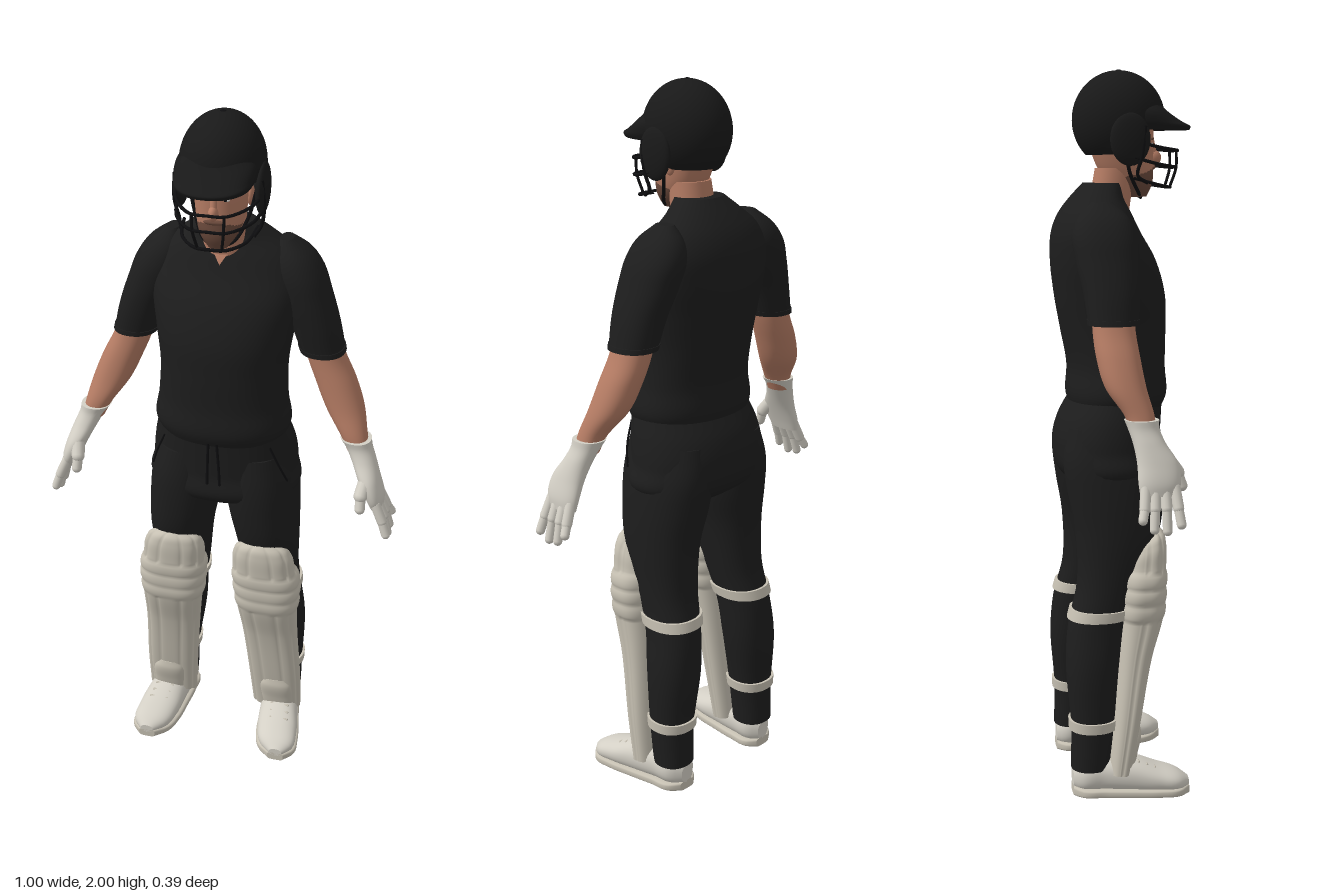
import * as THREE from 'three';

const mat = (name, color, side = THREE.FrontSide) => {
  const m = new THREE.MeshStandardMaterial({ color, side });
  m.name = name;
  return m;
};

// Sections are [t, cx, c2, r1, r2, roundness]; t rises along the loft axis.
function sampler(sections, s = 1) {
  const times = sections.map(q => q[0]);
  const values = sections.flatMap(q => [q[1] * s, q[2], q[3], q[4], q[5] ?? 2.2]);
  const it = new THREE.CubicInterpolant(times, values, 5, new Float32Array(5));
  return t => Array.from(it.evaluate(t));
}

// Smooth closed body through elliptical sections along y or z.
function loft(sections, { s = 1, axis = 'y', rings = 28, seg = 36, mod = () => 1, warp = null } = {}) {
  const at = sampler(sections, s), t0 = sections[0][0], t1 = sections.at(-1)[0];
  const pos = [], idx = [], flip = axis === 'z';
  const tri = (a, b, c) => (flip ? idx.push(a, c, b) : idx.push(a, b, c));
  const pw = (v, n) => Math.sign(v) * Math.pow(Math.abs(v), 2 / n);
  const add = (x, w, t) => {
    const p = flip ? [x, w, t] : [x, t, w];
    pos.push(...(warp ? warp(...p) : p));
  };
  const ring = t => {
    const [cx, cz, rx, rz, n] = at(t), first = pos.length / 3;
    for (let i = 0; i < seg; i++) {
      const a = (i / seg) * Math.PI * 2, k = mod(a, t);
      add(cx + rx * k * pw(Math.cos(a), n), cz + rz * k * pw(Math.sin(a), n), t);
    }
    return first;
  };
  for (let j = 0; j <= rings; j++) {
    const f = ring(t0 + ((t1 - t0) * j) / rings);
    if (j) for (let i = 0; i < seg; i++) {
      const n = (i + 1) % seg, g = f - seg;
      tri(g + i, f + i, g + n);
      tri(g + n, f + i, f + n);
    }
  }
  for (const [t, top] of [[t0, false], [t1, true]]) {
    const f = ring(t), c = pos.length / 3, [cx, cz] = at(t);
    add(cx, cz, t);
    for (let i = 0; i < seg; i++) {
      const n = (i + 1) % seg;
      top ? tri(c, f + n, f + i) : tri(c, f + i, f + n);
    }
  }
  const g = new THREE.BufferGeometry();
  g.setAttribute('position', new THREE.Float32BufferAttribute(pos, 3));
  g.setIndex(idx);
  g.computeVertexNormals();
  return g;
}

const tube = (pts, r) => new THREE.TubeGeometry(
  new THREE.CatmullRomCurve3(pts.map(p => new THREE.Vector3(...p))), 24, r, 6);

// Round-ended rod between two points
function rod(a, b, r) {
  const A = new THREE.Vector3(...a), B = new THREE.Vector3(...b), d = B.clone().sub(A);
  const g = new THREE.CapsuleGeometry(r, d.length(), 5, 12);
  g.applyQuaternion(new THREE.Quaternion().setFromUnitVectors(new THREE.Vector3(0, 1, 0), d.normalize()));
  return g.translate(...A.add(B).multiplyScalar(0.5).toArray());
}
const ball = (x, y, z, rx, ry, rz) => new THREE.SphereGeometry(1, 24, 16).scale(rx, ry, rz).translate(x, y, z);

const TORSO = [[1.09, 0, -.014, .176, .128], [1.12, 0, -.012, .19, .138], [1.2, 0, -.012, .18, .135],
  [1.3, 0, -.02, .176, .145], [1.4, 0, -.03, .188, .152], [1.5, 0, -.05, .203, .141], [1.57, 0, -.068, .198, .118],
  [1.62, 0, -.07, .17, .096], [1.66, 0, -.065, .122, .072], [1.7, 0, -.048, .074, .053]];
const HIPS = [[.86, 0, -.035, .12, .08], [.9, 0, -.035, .205, .135], [.98, 0, -.042, .208, .147],
  [1.05, 0, -.033, .2, .142], [1.12, 0, -.012, .182, .125]];
const LEG = [[.08, .17, -.115, .057, .055], [.2, .168, -.107, .062, .061], [.38, .157, -.105, .076, .075],
  [.5, .146, -.09, .074, .08], [.6, .136, -.06, .08, .085], [.75, .128, -.03, .092, .117],
  [.86, .115, -.032, .102, .134], [.95, .108, -.036, .1, .14], [1.04, .095, -.034, .09, .128]];
const SLEEVE = [[1.345, .262, -.065, .061, .066], [1.42, .24, -.065, .066, .075], [1.5, .21, -.07, .07, .085],
  [1.57, .185, -.075, .068, .085], [1.615, .17, -.075, .05, .065], [1.65, .155, -.075, .018, .028]];
const FOREARM = [[1.07, .385, -.01, .032, .034], [1.11, .37, -.015, .037, .038], [1.18, .336, -.045, .053, .053],
  [1.26, .302, -.06, .056, .057], [1.32, .275, -.065, .053, .056], [1.4, .25, -.065, .05, .055]];
const GLOVE = [[.92, .45, .018, .019, .048], [.95, .443, .022, .025, .055], [1.0, .424, .02, .03, .053],
  [1.05, .402, .002, .034, .042], [1.085, .385, -.009, .037, .041], [1.105, .376, -.012, .043, .045]];
const PAD = [[.07, .17, -.037, .076, .034, 2.6], [.2, .165, -.018, .08, .04, 2.6], [.4, .152, .01, .084, .05, 2.6],
  [.52, .145, .032, .091, .062, 2.6], [.6, .142, .037, .096, .063, 2.6], [.66, .136, .041, .092, .062, 2.5],
  [.72, .132, .046, .084, .058, 2.4], [.745, .13, .048, .066, .05], [.757, .13, .05, .03, .035]];
const SHOE = [[-.165, .165, .05, .022, .028], [-.145, .167, .057, .046, .045], [-.08, .172, .06, .055, .052],
  [0, .183, .056, .06, .052], [.07, .193, .045, .062, .038], [.13, .203, .036, .05, .027], [.158, .207, .03, .02, .014]];
const SOLE = SHOE.map(([z, x, , r]) => [z, x, .014, r + .005, .014, 4]);
const HEAD = [[1.665, 0, .045, .026, .028], [1.69, 0, .035, .046, .05], [1.72, 0, .022, .058, .069],
  [1.77, 0, .01, .067, .083], [1.82, 0, .004, .07, .09], [1.88, 0, 0, .07, .09]];

export function createModel() {
  const root = new THREE.Group();
  root.name = 'batter';
  const cloth = mat('black cloth', 0x1d1d1d), shell = mat('helmet black', 0x191919, THREE.DoubleSide);
  const skin = mat('skin', 0xb57c64, THREE.DoubleSide), beard = mat('beard brown', 0x6b4a3c);
  const white = mat('glove and shoe white', 0xd3cfc5), padMat = mat('pad white', 0xc6c0b2);
  const trim = mat('dark trim', 0x0e0e10), eyeWhite = mat('eye white', 0xe6e2dc);
  const add = (name, g, m, parent = root) => {
    const mesh = new THREE.Mesh(g, m);
    mesh.name = name;
    parent.add(mesh);
    return mesh;
  };

  // Clothed trunk
  add('shirt', loft(TORSO, { rings: 48, seg: 56 }), cloth);
  add('hips', loft(HIPS, { seg: 48 }), cloth);
  add('neck', loft([[1.56, 0, -.035, .066, .058], [1.64, 0, -.028, .062, .056], [1.74, 0, -.01, .057, .057]]), skin);

  // V neckline lying on the shirt
  const at = sampler(TORSO), vee = new THREE.PlaneGeometry(2, 1, 12, 10), p = vee.attributes.position;
  const onShirt = (x, y, lift) => {
    const [, cz, rx, rz, n] = at(y);
    return [x, y, cz + rz * Math.pow(1 - Math.pow(Math.abs(x / rx), n), 1 / n) + lift];
  };
  for (let i = 0; i < p.count; i++) {
    const v = p.getY(i) + .5;
    p.setXYZ(i, ...onShirt(p.getX(i) * .056 * v, 1.6 + .085 * v, .003));
  }
  vee.computeVertexNormals();
  add('neckline', vee, skin);

  // Head and face
  add('head', loft(HEAD), skin);
  add('beard', loft([[1.662, 0, .046, .027, .029], [1.69, 0, .037, .047, .051], [1.715, 0, .026, .057, .067],
    [1.735, 0, .022, .059, .071]]), beard);
  add('nose', ball(0, 1.768, .098, .013, .02, .019), skin);
  add('noseBridge', rod([0, 1.78, .096], [0, 1.815, .088], .009), skin);
  add('moustache', ball(0, 1.742, .092, .028, .007, .007), beard);
  for (const s of [1, -1]) {
    add('eye', ball(s * .028, 1.803, .083, .012, .006, .005), eyeWhite);
    add('pupil', ball(s * .028, 1.803, .087, .005, .005, .003), trim);
    add('eyebrow', ball(s * .029, 1.819, .084, .018, .005, .006), beard);
    add('ear', ball(s * .071, 1.785, -.008, .01, .028, .018), skin);
  }

  // Helmet
  const helmet = new THREE.Group();
  helmet.name = 'helmet';
  root.add(helmet);
  const dome = (...a) => new THREE.SphereGeometry(1, 48, 24, ...a).scale(.111, .132, .128).translate(0, 1.868, -.002);
  add('dome', dome(0, Math.PI * 2, 0, Math.PI * .56), shell, helmet);
  add('neckGuard', dome(Math.PI * .93, Math.PI * 1.14, Math.PI * .5, Math.PI * .25), shell, helmet);
  add('peak', loft([[1.842, 0, .083, .095, .11], [1.853, 0, .084, .1, .111], [1.862, 0, .076, .102, .1],
    [1.89, 0, .06, .098, .072], [1.91, 0, .05, .08, .06]], { seg: 48 }), shell, helmet);
  add('button', ball(0, 1.999, -.002, .008, .003, .008), trim, helmet);
  for (const s of [1, -1]) {
    add('earGuard', ball(s * .107, 1.815, .01, .017, .07, .055), shell, helmet);
    add('grilleSide', tube([[s * .113, 1.85, .05], [s * .117, 1.77, .04], [s * .108, 1.72, .03], [s * .095, 1.7, .06]], .005), trim, helmet);
    add('grilleUpright', tube([[s * .042, 1.787, .15], [s * .04, 1.74, .15], [s * .032, 1.69, .135]], .004), trim, helmet);
    add('chinStrap', tube([[s * .09, 1.81, 0], [s * .07, 1.73, .015], [s * .04, 1.675, .045], [0, 1.66, .06]], .005), trim, helmet);
  }
  for (const [y, w, z] of [[1.787, .115, .157], [1.742, .115, .153], [1.688, .098, .138]])
    add('grilleBar', tube([[-w, y + .025, .02], [-w * .85, y + .008, .09], [-w * .4, y, z - .005], [0, y, z],
      [w * .4, y, z - .005], [w * .85, y + .008, .09], [w, y + .025, .02]], .0045), trim, helmet);

  // Vertical canes, knee rolls and a top that slopes back
  const padRelief = (a, y) => {
    if (y > .51 && y < .645) return .98 + .075 * Math.sqrt(Math.abs(Math.sin(((y - .51) / .045) * Math.PI)));
    return Math.sin(a) > -.1 ? .94 + .07 * Math.sqrt(Math.abs(Math.sin(a * 5))) : .96;
  };
  const padTop = (x, y, z) => {
    const front = THREE.MathUtils.clamp((z + .02) / .09, 0, 1);
    return [x, y > .645 ? .645 + (y - .645) * (.2 + .8 * Math.sqrt(front)) : y, z];
  };

  for (const s of [1, -1]) {
    const side = new THREE.Group();
    side.name = s > 0 ? 'leftLimbs' : 'rightLimbs';
    root.add(side);
    const put = (name, g, m) => add(name, g, m, side);

    // Arm and gloved hand
    put('sleeve', loft(SLEEVE, { s }), cloth);
    put('sleeveHem', loft([[1.338, .264, -.065, .063, .068], [1.352, .26, -.065, .064, .069]], { s, rings: 2 }), cloth);
    put('forearm', loft(FOREARM, { s }), skin);
    put('glove', loft(GLOVE, { s }), white);
    for (const [z, tz, ty] of [[.06, .07, .85], [.035, .034, .835], [.009, 0, .84], [-.015, -.03, .865]]) {
      const knuckle = [s * .45, .94, z], mid = [s * .472, .89, (z + tz) / 2];
      put('finger', rod(knuckle, mid, .0145), white);
      put('fingertip', rod(mid, [s * .486, ty, tz], .0125), white);
    }
    put('thumbBase', rod([s * .418, 1.01, .045], [s * .41, .97, .075], .019), white);
    put('thumb', rod([s * .41, .97, .075], [s * .412, .935, .087], .0145), white);

    // Leg, straps and pad
    put('trouserLeg', loft(LEG, { s, rings: 40 }), cloth);
    const leg = sampler(LEG);
    for (const y of [.21, .525]) {
      const band = [-.014, .014].map(d => {
        const [x, z, rx, rz] = leg(y + d);
        return [y + d, x, z, rx + .007, rz + .007];
      });
      put('padStrap', loft(band, { s, rings: 2 }), padMat);
    }
    put('legPad', loft(PAD, { s, rings: 110, seg: 100, mod: padRelief, warp: padTop }), padMat);
    put('instepFlap', loft([[.075, .178, -.012, .046, .02], [.12, .175, -.005, .05, .022],
      [.175, .172, .006, .048, .022], [.2, .17, .008, .036, .016]], { s }), padMat);

    // Shoe
    put('shoe', loft(SHOE, { s, axis: 'z', warp: (x, y, z) => [x, Math.max(y, .012), z] }), white);
    put('sole', loft(SOLE, { s, axis: 'z' }), padMat);
    for (const z of [.015, .038, .06])
      put('lace', rod([s * (.16 + z * .15), .104 - z * .38, z], [s * (.212 + z * .15), .104 - z * .38, z], .004), padMat);

    // Waist cord and pocket seam
    put('waistCord', tube([[s * .012, 1.1, .116], [s * .016, 1.02, .111], [s * .018, .96, .108]], .004), trim);
    put('pocketSeam', tube([[s * .15, 1.08, .066], [s * .175, 1.02, .058], [s * .196, .96, .037]], .003), trim);
  }
  return root;
}
